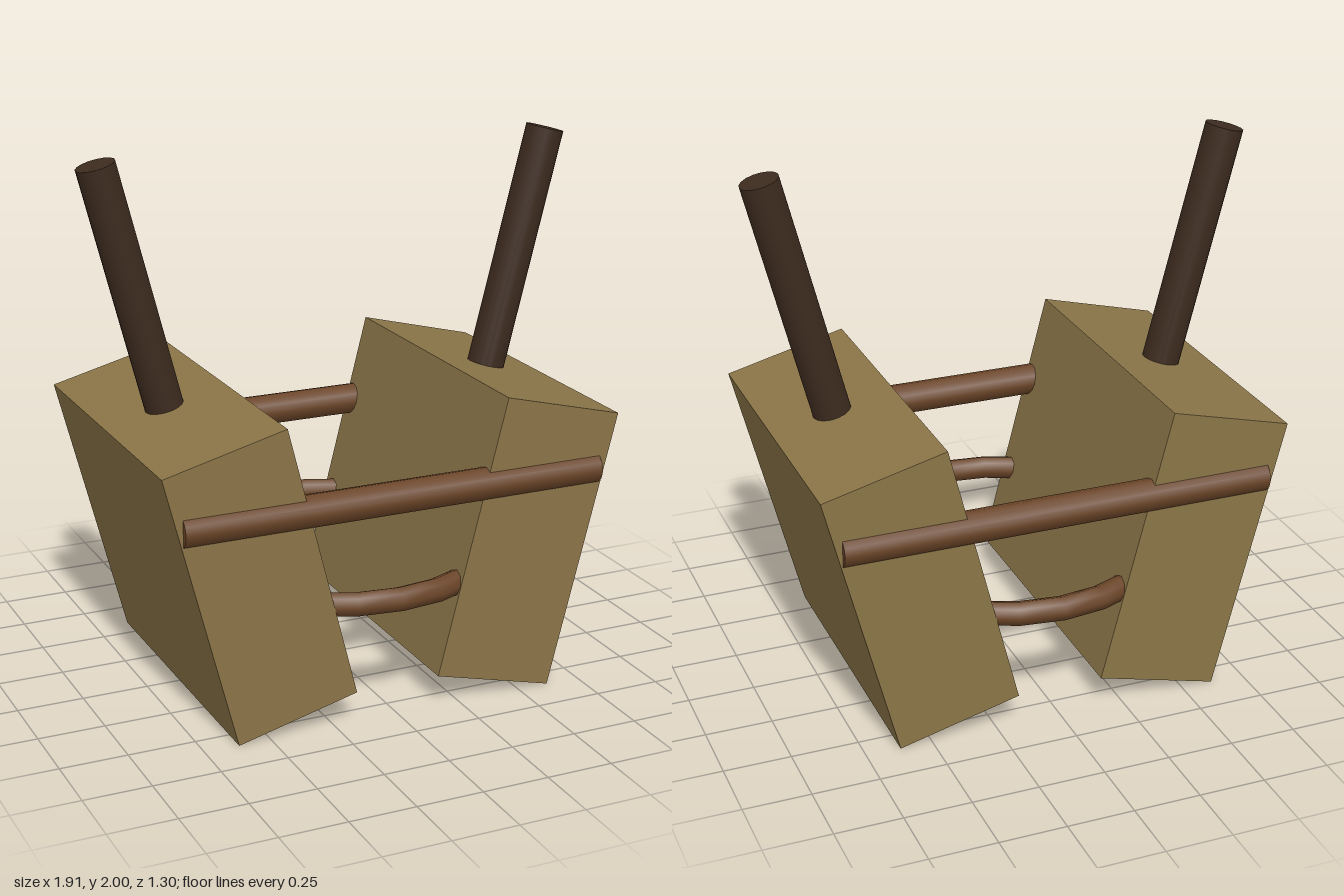
import * as THREE from 'three';

export function createModel() {
  const model = new THREE.Group();
  const material = (name, color) => {
    const m = new THREE.MeshStandardMaterial({ color });
    m.name = name;
    return m;
  };
  const wood = material('paleWood', 0x8b7548);
  const darkWood = material('darkWood', 0x3d2b1f);
  const leather = material('brownLeather', 0x6b4528);

  const add = (parent, name, geometry, mat, x = 0, y = 0, z = 0) => {
    const mesh = new THREE.Mesh(geometry, mat);
    mesh.name = name;
    mesh.position.set(x, y, z);
    parent.add(mesh);
    return mesh;
  };

  // Two blocks leaning outwards, each pierced by a long round handle
  const blockShape = new THREE.BoxGeometry(0.472, 1.063, 1.19);
  const handleShape = new THREE.CylinderGeometry(0.072, 0.072, 2, 16);
  for (const side of [1, -1]) {
    const half = new THREE.Group();
    half.name = side > 0 ? 'leftHalf' : 'rightHalf';
    half.position.set(side * 0.524, 0.576, 0);
    half.rotation.z = -side * 0.251;
    add(half, 'block', blockShape, wood);
    add(half, 'handle', handleShape, darkWood, 0, 0.456, 0);
    model.add(half);
  }

  // Front and back: a straight upper strap and a bowed lower strap
  const upperShape = new THREE.CylinderGeometry(0.06, 0.06, 1.625, 12).rotateZ(Math.PI / 2);
  const lowerShape = new THREE.TorusGeometry(0.603, 0.046, 8, 6, Math.PI / 2)
    .rotateZ(Math.PI / 4).rotateX(Math.PI / 2);
  for (const end of [1, -1]) {
    const straps = new THREE.Group();
    straps.name = end > 0 ? 'frontStraps' : 'backStraps';
    straps.rotation.y = end > 0 ? 0 : Math.PI;
    add(straps, 'upperStrap', upperShape, leather, 0, 0.828, 0.563);
    add(straps, 'lowerStrap', lowerShape, leather, 0, 0.455, 0);
    model.add(straps);
  }
  return model;
}
